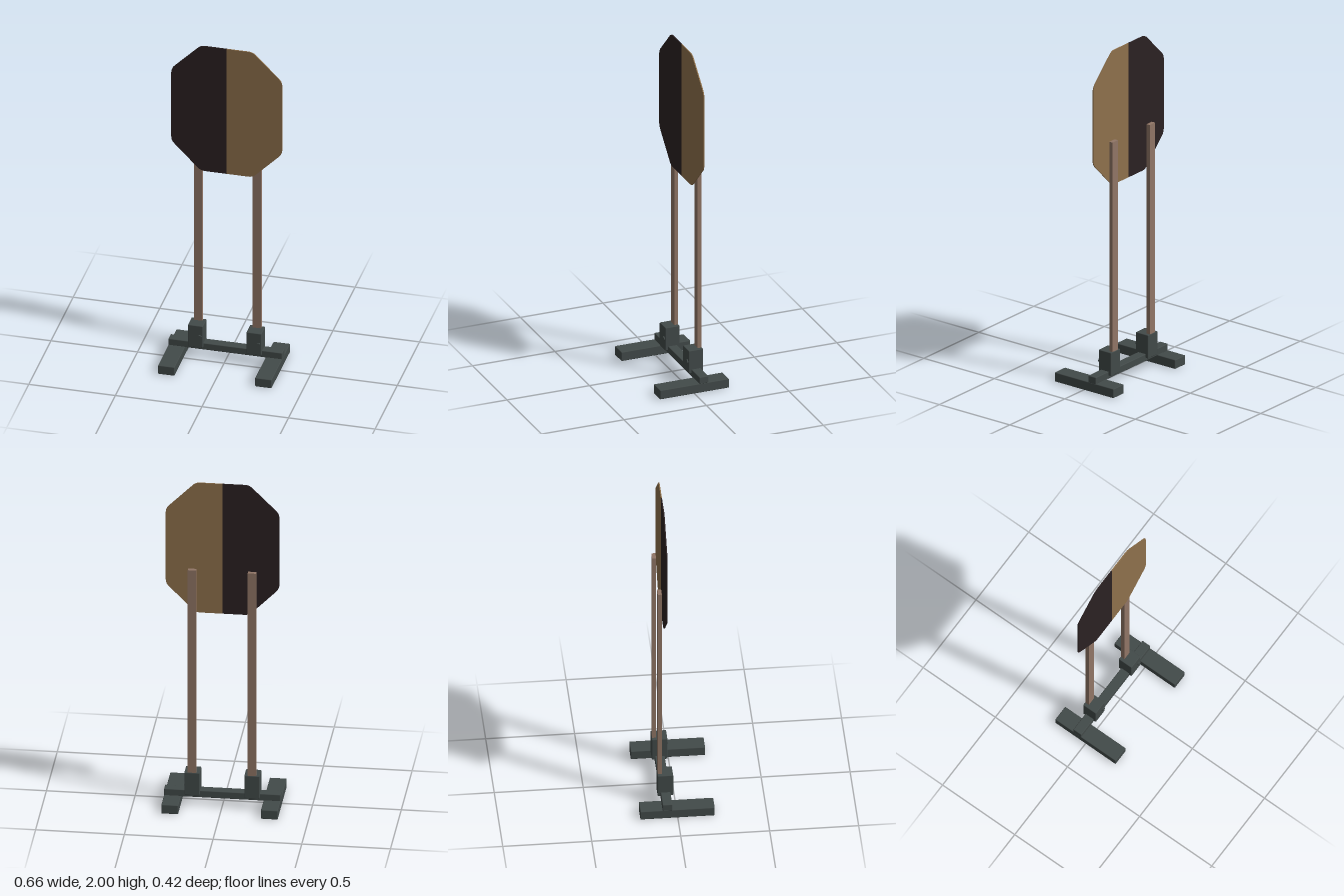
import * as THREE from 'three';
import { RoundedBoxGeometry } from 'three/addons/geometries/RoundedBoxGeometry.js';

const material = (name, color) => {
  const m = new THREE.MeshStandardMaterial({ color });
  m.name = name;
  return m;
};

// Box given by its lower and upper corners, with slightly eased edges
function box(name, min, max, mat, radius) {
  const size = max.map((v, i) => v - min[i]);
  const geometry = radius
    ? new RoundedBoxGeometry(...size, 2, radius)
    : new THREE.BoxGeometry(...size);
  const mesh = new THREE.Mesh(geometry, mat);
  mesh.name = name;
  mesh.position.set(...max.map((v, i) => (v + min[i]) / 2));
  return mesh;
}

// Half of the octagonal board, with softened corners; side is +1 or -1
function boardHalf(name, side, mat) {
  const corners = [[0.15, 1.193], [0.32, 1.365], [0.32, 1.83], [0.15, 2.0]];
  const path = [[0, 1.193], ...corners, [0, 2.0]].map(([x, y]) => new THREE.Vector2(x * side, y));
  const shape = new THREE.Shape();
  shape.moveTo(path[0].x, path[0].y);
  for (let i = 1; i < path.length - 1; i++) {
    const c = path[i];
    const toward = (p) => c.clone().add(p.clone().sub(c).setLength(0.025));
    const a = toward(path[i - 1]);
    const b = toward(path[i + 1]);
    shape.lineTo(a.x, a.y);
    shape.quadraticCurveTo(c.x, c.y, b.x, b.y);
  }
  shape.lineTo(path.at(-1).x, path.at(-1).y);
  const geometry = new THREE.ExtrudeGeometry(shape, { depth: 0.006, bevelEnabled: false, curveSegments: 5 });
  const mesh = new THREE.Mesh(geometry, mat);
  mesh.name = name;
  mesh.position.z = -0.063;
  return mesh;
}

export function createModel() {
  const metal = material('dark green grey metal', 0x424a49);
  const wood = material('wood', 0x917666);
  const tan = material('tan cardboard', 0x8f714c);
  const dark = material('dark paint', 0x2b2122);

  const model = new THREE.Group();
  model.name = 'targetStand';

  // Base: two feet joined by a crossbar
  model.add(box('leftFoot', [0.232, 0, -0.21], [0.327, 0.055, 0.208], metal, 0.004));
  model.add(box('rightFoot', [-0.329, 0, -0.21], [-0.234, 0.055, 0.208], metal, 0.004));
  model.add(box('crossbar', [-0.329, 0.052, -0.085], [0.327, 0.094, -0.03], metal, 0.004));

  // Uprights: socket, clamping bolt and wooden post
  for (const [side, x] of [['left', 0.168], ['right', -0.17]]) {
    const upright = new THREE.Group();
    upright.name = side + 'Upright';
    upright.position.x = x;
    upright.add(box('socket', [-0.043, 0.07, -0.102], [0.043, 0.21, -0.014], metal, 0.004));
    upright.add(box('post', [-0.024, 0.15, -0.099], [0.024, 1.47, -0.076], wood));
    const bolt = new THREE.Mesh(new THREE.CylinderGeometry(0.012, 0.012, 0.014, 16), metal);
    bolt.name = 'bolt';
    bolt.rotation.x = Math.PI / 2;
    bolt.position.set(0.025, 0.14, -0.014);
    upright.add(bolt);
    model.add(upright);
  }

  // Two-tone target board
  model.add(boardHalf('boardLeftHalf', 1, tan));
  model.add(boardHalf('boardRightHalf', -1, dark));

  return model;
}
